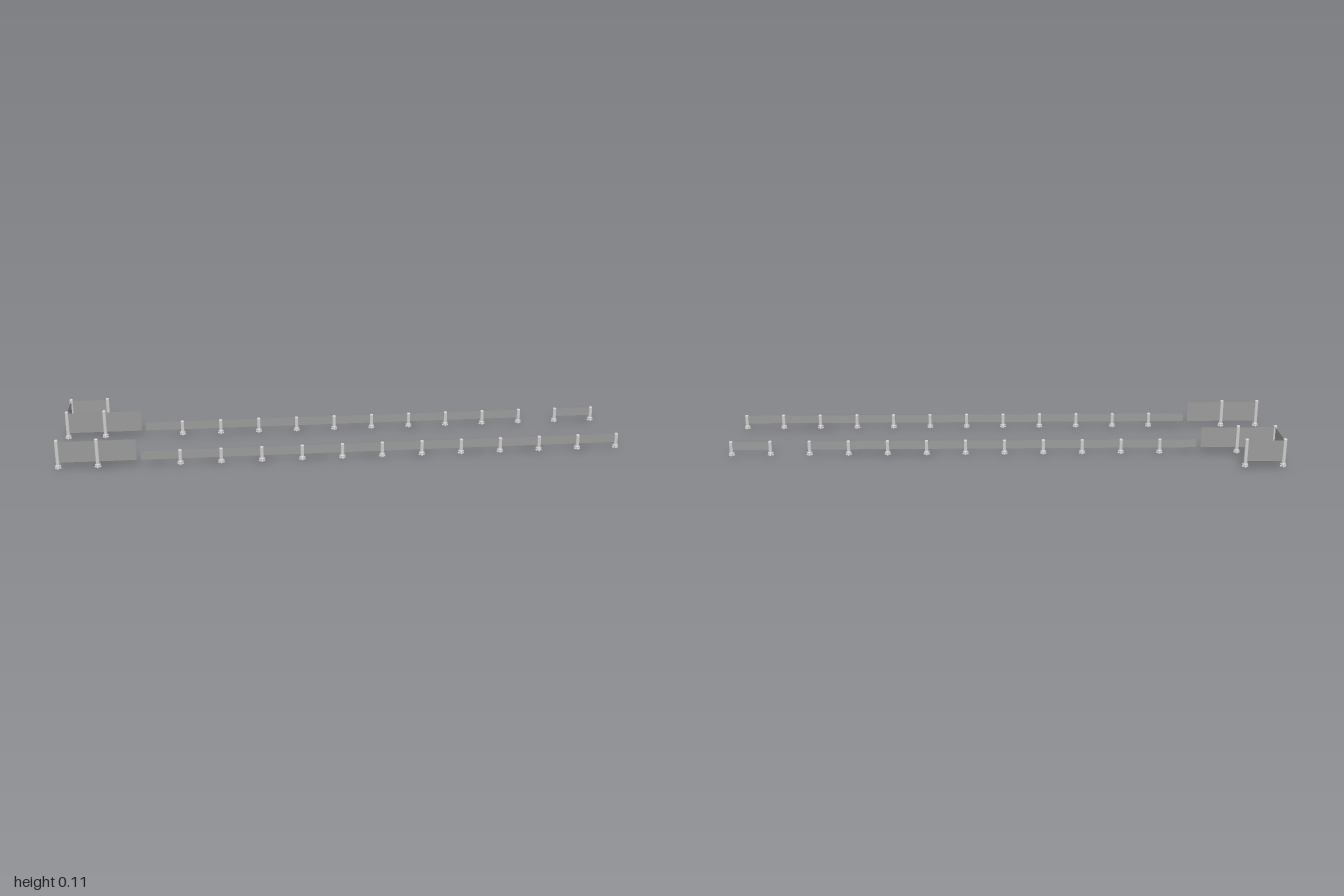
import * as THREE from 'three';
import { RoundedBoxGeometry } from 'three/addons/geometries/RoundedBoxGeometry.js';

const FRONT = 0.218, MID = -0.0755, BACK = -0.218;
const BOTTOM = 0.024, LOW = 0.055, TALL = 0.1;
// Even spacing from the low end; the first post sits slightly closer
const postX = (i) => Math.max(-0.988, 0.988 - 0.1416 * (14 - i));

const metal = new THREE.MeshStandardMaterial({ color: 0xcccccc });
const sheet = new THREE.MeshStandardMaterial({ color: 0x9a9a9a, side: THREE.DoubleSide });

function add(parent, geometry, name, x, y, z) {
  const mesh = new THREE.Mesh(geometry, metal);
  mesh.name = name;
  mesh.position.set(x, y, z);
  parent.add(mesh);
}

// Soft-edged square pole on a round foot plate with four ball castors
function makePost(height) {
  const post = new THREE.Group();
  post.name = 'post';
  const base = 0.011;
  add(post, new RoundedBoxGeometry(0.0128, height - base, 0.0128, 3, 0.004), 'pole',
    0, (height + base) / 2, 0);
  add(post, new THREE.CylinderGeometry(0.0065, 0.009, 0.004, 16), 'collar', 0, 0.0155, 0);
  add(post, new THREE.CylinderGeometry(0.0105, 0.0105, 0.0045, 16), 'footPlate', 0, 0.0112, 0);
  for (let i = 0; i < 4; i++) {
    const a = (i * Math.PI) / 2;
    add(post, new THREE.SphereGeometry(0.0045, 12, 8), 'castor',
      0.0075 * Math.cos(a), 0.0045, 0.0075 * Math.sin(a));
  }
  return post;
}

// Thin upright sheet between two points on the ground
function addPanel(parent, x1, z1, x2, z2, top) {
  const panel = new THREE.Mesh(
    new THREE.PlaneGeometry(Math.hypot(x2 - x1, z2 - z1), top - BOTTOM), sheet);
  panel.name = top === TALL ? 'tallPanel' : 'lowPanel';
  panel.position.set((x1 + x2) / 2, (top + BOTTOM) / 2, (z1 + z2) / 2);
  panel.rotation.y = -Math.atan2(z2 - z1, x2 - x1);
  parent.add(panel);
}

export function createModel() {
  const model = new THREE.Group();
  model.name = 'barrier';
  const tallPost = makePost(0.108), lowPost = makePost(0.058);
  const place = (i, z) => {
    const post = (i < 2 ? tallPost : lowPost).clone();
    post.position.set(postX(i), 0, z);
    model.add(post);
  };

  // Two long rows: tall end section, then low fence
  for (const z of [FRONT, MID]) {
    for (let i = 0; i < 15; i++) if (i !== 2) place(i, z);
    addPanel(model, postX(0), z, postX(1), z, TALL);
    addPanel(model, postX(1), z, -0.72, z, TALL);
    addPanel(model, -0.704, z, postX(3), z, LOW);
    for (let i = 3; i < 14; i++) {
      // Opening near the far end of the middle row
      if (z === MID && i === 12) continue;
      addPanel(model, postX(i), z, postX(i + 1), z, LOW);
    }
  }

  // Tall pen behind the middle row
  place(0, BACK);
  place(1, BACK);
  addPanel(model, postX(0), BACK, postX(1), BACK, TALL);
  addPanel(model, postX(0), BACK, postX(0), MID, TALL);
  return model;
}
